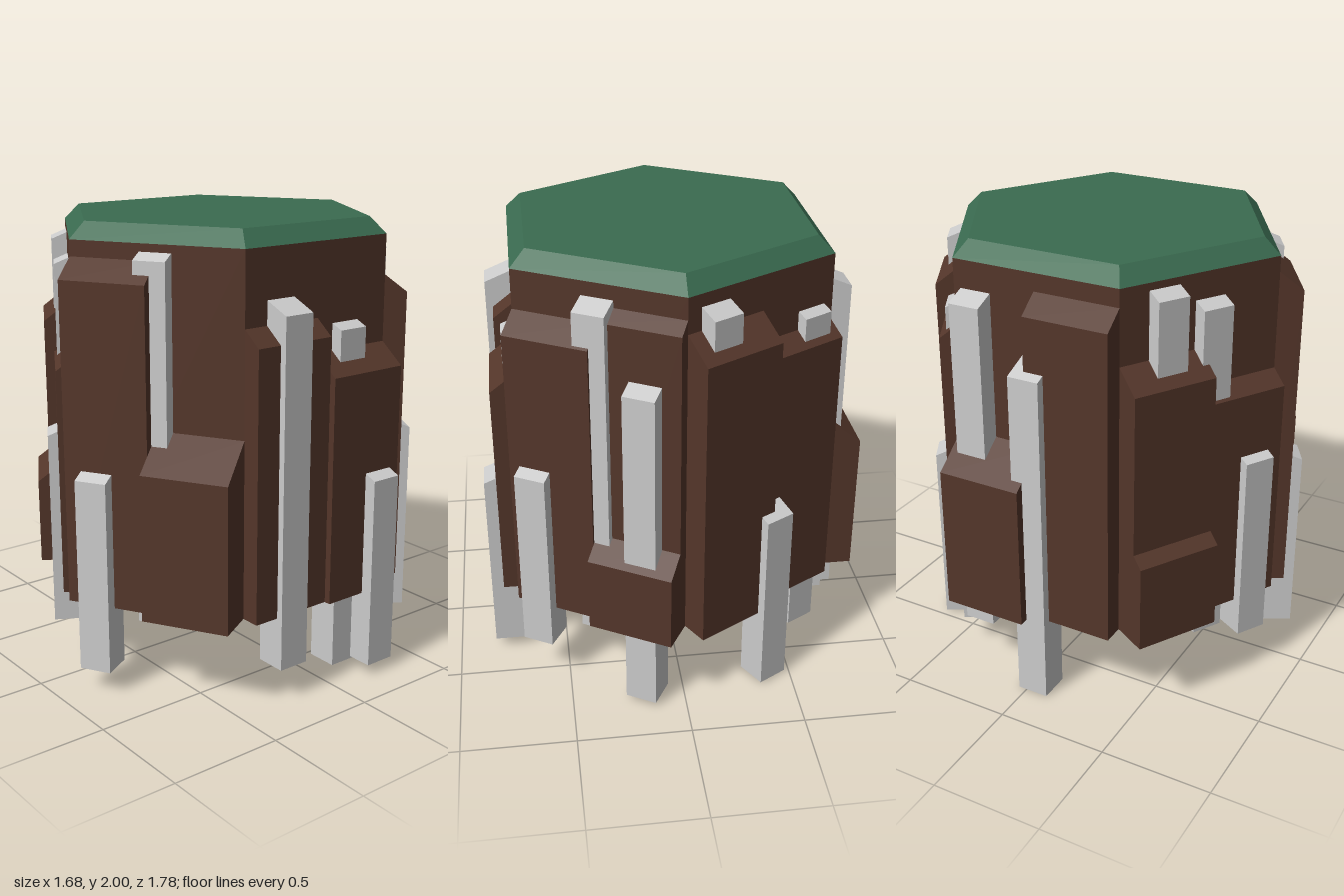
import * as THREE from 'three';

const RADIUS = 0.768;                 // corner radius of the hexagonal core
const APOTHEM = RADIUS * Math.cos(Math.PI / 6);
const BASE = 0.38;                    // underside of core and slabs

// One entry per side of the hexagon.
// slabs: [side of the face, outer depth, top height, starting depth]
// posts: [offset along the face, outer depth, bottom, top]
const SIDES = [
  { name: 'left', angle: 0,
    slabs: [[1, 0.085, 1.55], [-1, 0.115, 1.38]],
    posts: [[0.2, 0.115, 0.15, 1.67], [-0.155, 0.055, 0.04, 1.56], [-0.265, 0.17, 0.05, 0.91]] },
  { name: 'frontLeft', angle: -60,
    slabs: [[1, 0.105, 1.78], [-1, 0.18, 1.02]],
    posts: [[0, 0.063, 0.32, 1.87], [0.236, 0.164, 0.1, 0.955]] },
  { name: 'frontRight', angle: -120,
    slabs: [[-1, 0.075, 1.38], [1, 0.115, 1.52], [1, 0.17, 0.77, 0.115]],
    posts: [[0.178, 0.068, 0.34, 1.87], [-0.04, 0.063, 0.27, 1.79], [-0.245, 0.118, 0.22, 1.08]] },
  { name: 'right', angle: 180,
    slabs: [[1, 0.175, 1.03], [-1, 0.095, 1.78]],
    posts: [[0.28, 0.09, 0.26, 1.77], [-0.02, 0.135, 0, 1.53]] },
  { name: 'backRight', angle: 120,
    slabs: [[1, 0.125, 1.68], [-1, 0.075, 1.58]],
    posts: [[0.246, 0.082, 0.34, 1.84], [-0.266, 0.048, 0.15, 1.7], [0, 0.165, 0.01, 0.87]] },
  { name: 'backLeft', angle: 60,
    slabs: [[-1, 0.06, 1.79], [-1, 0.16, 0.72, 0.06], [1, 0.1, 1.68]],
    posts: [[-0.23, 0.133, 0.02, 1.53], [0, 0.09, 0.32, 1.83], [0.265, 0.153, 0.21, 1.06]] },
];

// Upright block whose top slopes down towards its outer face (+x).
function slopedBlock(inner, outer, bottom, top, slope, width) {
  const profile = new THREE.Shape([
    new THREE.Vector2(inner, bottom),
    new THREE.Vector2(outer, bottom),
    new THREE.Vector2(outer, top),
    new THREE.Vector2(inner, top + slope * (outer - inner)),
  ]);
  return new THREE.ExtrudeGeometry(profile, { depth: width, bevelEnabled: false })
    .translate(APOTHEM, 0, -width / 2);
}

export function createModel() {
  const group = new THREE.Group();
  group.name = 'hexagonalRock';
  const earth = new THREE.MeshStandardMaterial({ color: 0x54362a, flatShading: true });
  const grass = new THREE.MeshStandardMaterial({ color: 0x3a6b50, flatShading: true });
  const stone = new THREE.MeshStandardMaterial({ color: 0xcccccc, flatShading: true });

  const add = (parent, name, geometry, material) => {
    const mesh = new THREE.Mesh(geometry, material);
    mesh.name = name;
    parent.add(mesh);
    return mesh;
  };

  // Core and bevelled grass cap
  add(group, 'core', new THREE.CylinderGeometry(RADIUS, RADIUS, 1.93 - BASE, 6), earth)
    .position.y = (1.93 + BASE) / 2;
  add(group, 'grassCap', new THREE.CylinderGeometry(0.693, RADIUS, 0.07, 6), grass)
    .position.y = 1.965;

  // Slabs fill half a face each; posts run down past the underside
  for (const { name, angle, slabs, posts } of SIDES) {
    const side = new THREE.Group();
    side.name = name + 'Side';
    side.rotation.y = THREE.MathUtils.degToRad(angle);
    group.add(side);
    for (const [half, depth, top, start = 0] of slabs) {
      add(side, 'earthSlab', slopedBlock(start, depth, BASE, top, 0.77, RADIUS / 2), earth)
        .position.z = half * RADIUS / 4;
    }
    for (const [offset, depth, bottom, top] of posts) {
      add(side, 'stonePost', slopedBlock(depth - 0.14, depth, bottom, top, 0.42, 0.142), stone)
        .position.z = offset;
    }
  }

  group.position.z = 0.012;
  const root = new THREE.Group();
  root.add(group);
  return root;
}
